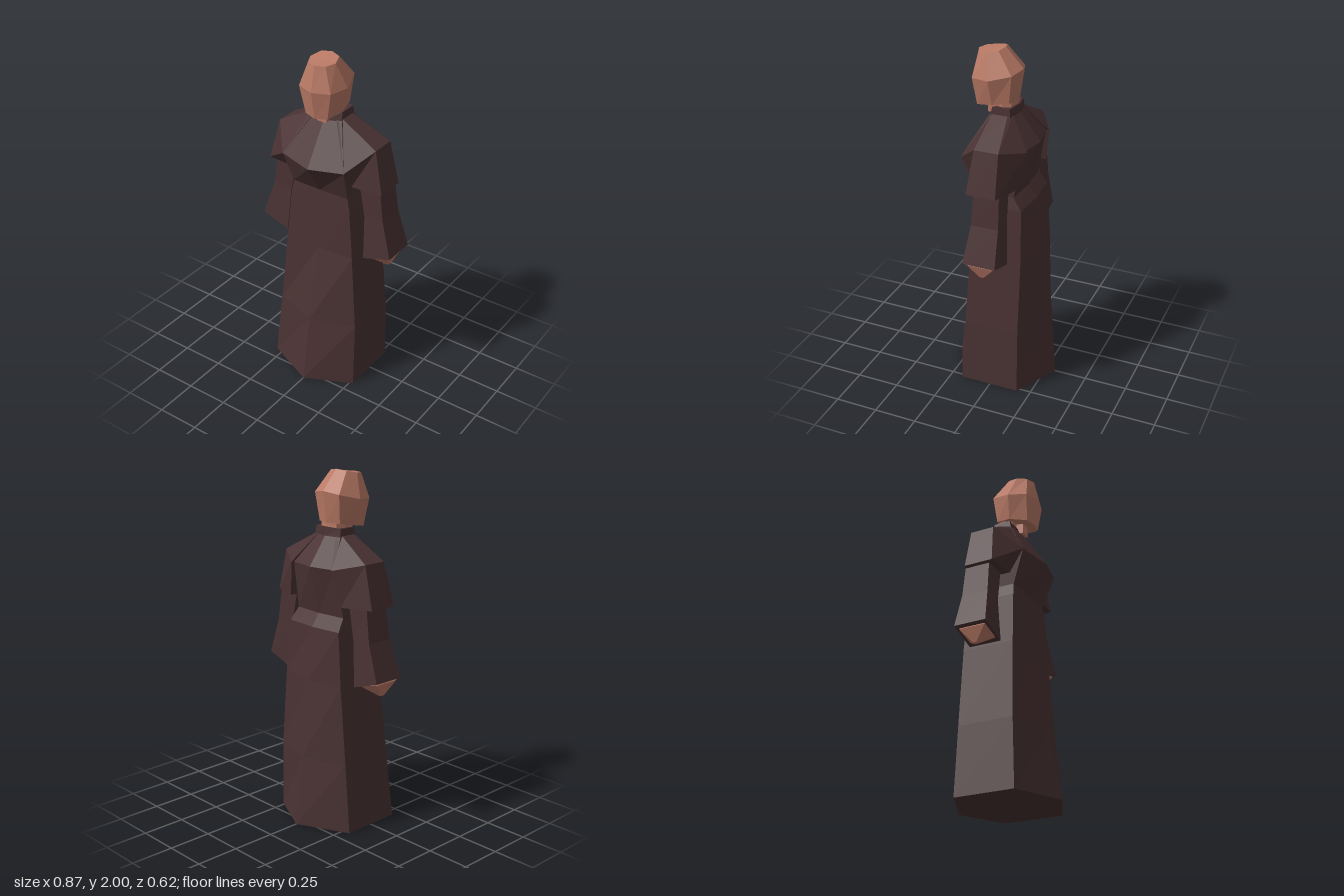
import * as THREE from 'three';

// Flat-faced skin over closed rings, listed bottom to top, each counter-clockwise from above
function loft(rings, material, name) {
  const pos = [], n = rings[0].length;
  const tri = (a, b, c) => pos.push(...a, ...b, ...c);
  for (let r = 0; r < rings.length - 1; r++) {
    for (let i = 0; i < n; i++) {
      const j = (i + 1) % n, lo = rings[r], hi = rings[r + 1];
      tri(lo[i], lo[j], hi[j]);
      tri(lo[i], hi[j], hi[i]);
    }
  }
  const cap = (ring, up) => {
    const c = [0, 1, 2].map(k => ring.reduce((s, p) => s + p[k], 0) / n);
    ring.forEach((p, i) => {
      const q = ring[(i + 1) % n];
      up ? tri(c, p, q) : tri(c, q, p);
    });
  };
  cap(rings[0], false);
  cap(rings[rings.length - 1], true);
  const geo = new THREE.BufferGeometry();
  geo.setAttribute('position', new THREE.Float32BufferAttribute(pos, 3));
  geo.computeVertexNormals();
  const mesh = new THREE.Mesh(geo, material);
  mesh.name = name;
  return mesh;
}

// Complete a ring from its +x half (first and last points lie on the centre line)
const mirrorRing = half => [
  ...half,
  ...half.slice(1, -1).reverse().map(([x, y, z]) => [-x, y, z]),
];

// Flip rings to the other side of the body, keeping the winding
const flip = rings => rings.map(r => r.map(([x, y, z]) => [-x, y, z]).reverse());

// Six-sided gown section
const gown = (y, w, front, frontSide, backSide, back, dx = 0) =>
  mirrorRing([[0, y, front], [w, y, frontSide], [w, y, backSide], [0, y, back]])
    .map(([x, py, z]) => [x ? x + dx : 0, py, z]);

// Four-sided sleeve section, sloping from inner to outer edge
const sleeve = (xi, yi, xo, yo, zf, zb) =>
  [[xi, yi, zf], [xo, yo, zf], [xo, yo, zb], [xi, yi, zb]];

export function createModel() {
  const robe = new THREE.MeshStandardMaterial({ color: 0x4a3233 });
  robe.name = 'dark brown cloth';
  const skin = new THREE.MeshStandardMaterial({ color: 0xba7a66 });
  skin.name = 'skin';
  const model = new THREE.Group();
  model.name = 'robedFigure';

  // Gown from hem to collar
  model.add(loft([
    gown(0, 0.283, 0.308, 0.18, -0.17, -0.308, -0.012),
    gown(0.4, 0.262, 0.235, 0.155, -0.17, -0.258),
    gown(0.85, 0.222, 0.145, 0.135, -0.17, -0.21),
    gown(1.15, 0.195, 0.13, 0.125, -0.16, -0.175),
    gown(1.22, 0.18, 0.125, 0.12, -0.11, -0.125),
    mirrorRing([[0, 1.4, 0.238], [0.2, 1.415, 0.19], [0.16, 1.49, -0.16], [0, 1.49, -0.19]]),
    mirrorRing([[0, 1.63, 0.09], [0.1, 1.645, 0.06], [0.1, 1.645, -0.055], [0, 1.645, -0.075]]),
    mirrorRing([[0, 1.65, 0.08], [0.095, 1.69, 0.05], [0.095, 1.69, -0.05], [0, 1.695, -0.072]]),
  ], robe, 'gown'));

  // Shoulder cape, sleeve and hand, mirrored
  const cape = [
    [[0.19, 1.29, 0.1], [0.373, 1.29, 0.085], [0.373, 1.29, -0.085], [0.2, 1.29, -0.15]],
    [[0.2, 1.415, 0.19], [0.315, 1.53, 0.06], [0.315, 1.53, -0.08], [0.16, 1.49, -0.18]],
    [[0.07, 1.645, 0.07], [0.1, 1.65, 0.05], [0.1, 1.65, -0.04], [0.07, 1.65, -0.06]],
  ];
  const arm = [
    sleeve(0.262, 0.845, 0.435, 0.9, 0.083, -0.107),
    sleeve(0.25, 1.1, 0.368, 1.11, 0.058, -0.1),
    sleeve(0.21, 1.3, 0.342, 1.3, 0.052, -0.095),
    sleeve(0.2, 1.42, 0.3, 1.42, 0.045, -0.08),
  ];
  const hand = [
    sleeve(0.37, 0.8, 0.385, 0.805, 0.003, -0.018),
    sleeve(0.29, 0.855, 0.415, 0.885, 0.068, -0.088),
    sleeve(0.3, 0.93, 0.37, 0.94, 0.04, -0.06),
  ];
  for (const [side, turn] of [['left', r => r], ['right', flip]]) {
    model.add(loft(turn(cape), robe, side + 'ShoulderCape'));
    model.add(loft(turn(arm), robe, side + 'Sleeve'));
    model.add(loft(turn(hand), skin, side + 'Hand'));
  }

  // Neck with a narrow throat showing at the collar opening
  model.add(loft([1.6, 1.72].map(y => mirrorRing([
    [0, y, 0.07], [0.06, y, 0.05], [0.078, y, 0], [0.06, y, -0.045], [0, y, -0.06],
  ])), skin, 'neck'));
  const throat = new THREE.Mesh(new THREE.BoxGeometry(0.06, 0.07, 0.06), skin);
  throat.name = 'throat';
  throat.position.set(0, 1.665, 0.075);
  model.add(throat);

  // Eight-sided faceted head
  model.add(loft([
    mirrorRing([[0, 1.675, 0.17], [0.07, 1.68, 0.15], [0.1, 1.7, 0.05], [0.08, 1.715, -0.04], [0, 1.715, -0.068]]),
    mirrorRing([[0, 1.835, 0.198], [0.1, 1.838, 0.165], [0.135, 1.845, 0.06], [0.095, 1.875, -0.06], [0, 1.89, -0.09]]),
    mirrorRing([[0, 1.975, 0.165], [0.055, 1.975, 0.145], [0.08, 1.98, 0.09], [0.06, 1.992, 0.028], [0, 2, 0.01]]),
  ], skin, 'head'));

  return model;
}
